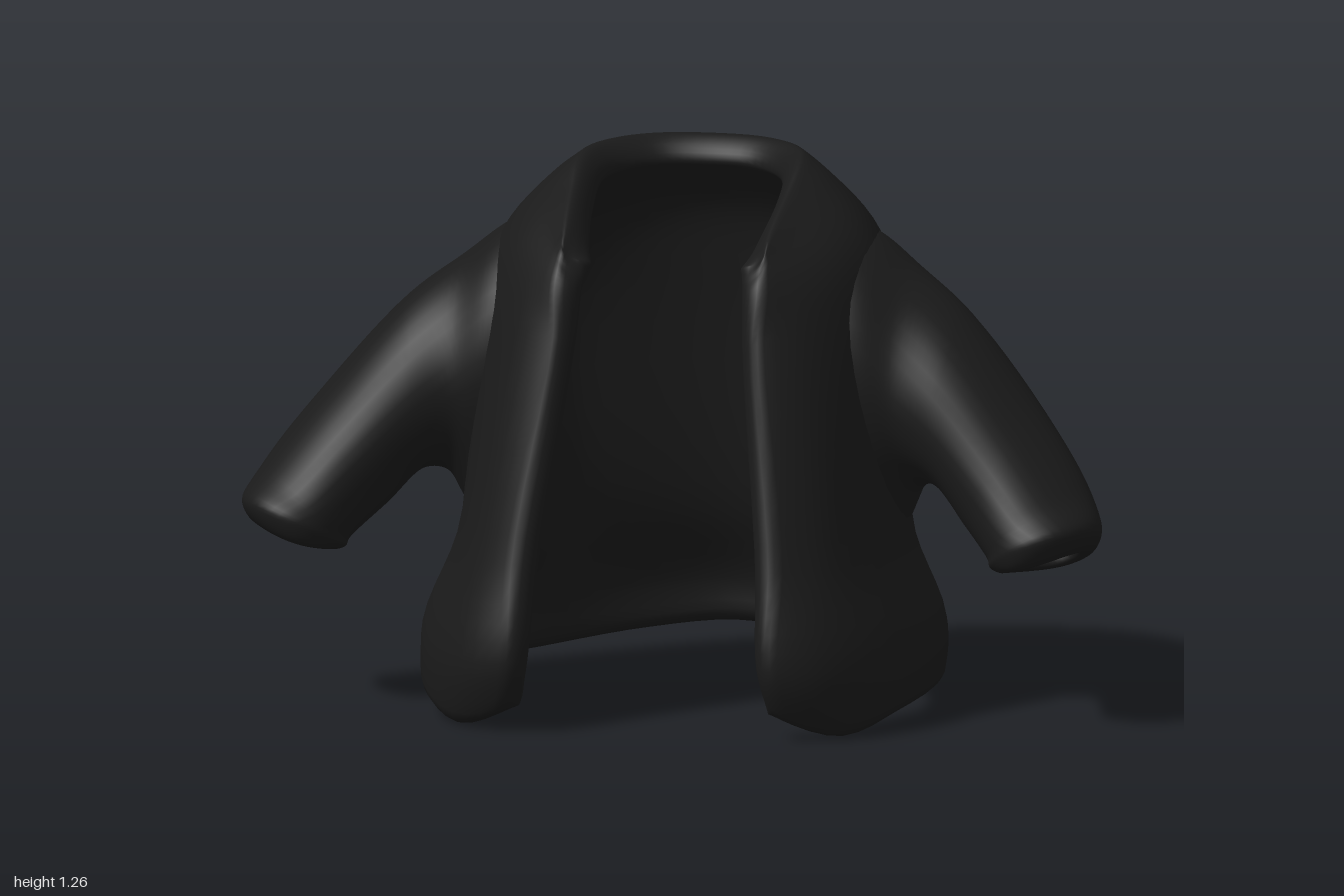
import * as THREE from 'three';
import { mergeVertices } from 'three/addons/utils/BufferGeometryUtils.js';

const cloth = new THREE.MeshStandardMaterial({ color: 0x1a1a1a });

// Middle of the cloth, hem to collar; each row runs from back centre to the left front edge.
const BODY_ROWS = [
  [[0, .085, -.54], [.2, .07, -.485], [.4, .05, -.32], [.54, .05, -.03], [.52, .03, .28], [.43, 0, .43], [.29, .06, .525]],
  [[0, .2, -.54], [.2, .19, -.485], [.4, .18, -.32], [.55, .18, -.04], [.51, .17, .3], [.39, .16, .505], [.27, .17, .56]],
  [[0, .4, -.455], [.2, .4, -.405], [.37, .4, -.28], [.47, .4, -.03], [.44, .4, .25], [.37, .4, .42], [.26, .4, .51]],
  [[0, .9, -.37], [.2, .89, -.34], [.38, .87, -.25], [.46, .87, -.02], [.4, .88, .15], [.3, .88, .31], [.2, .88, .37]],
  [[0, 1.09, -.33], [.18, 1.08, -.3], [.34, 1.06, -.2], [.39, 1.06, -.02], [.36, 1.04, .12], [.28, 1.01, .255], [.2, .99, .345]],
  [[0, 1.19, -.265], [.14, 1.19, -.235], [.25, 1.18, -.145], [.29, 1.17, -.03], [.28, 1.13, .08], [.25, 1.08, .2], [.2, 1.025, .325]],
  [[0, 1.24, -.215], [.11, 1.24, -.195], [.19, 1.235, -.12], [.22, 1.22, -.03], [.22, 1.165, .08], [.21, 1.11, .2], [.2, 1.055, .3]],
];

// Sleeve rings, armhole to cuff and back inside; each has its top, back, bottom and front point.
const SLEEVE_RINGS = [
  [[.32, 1.12, -.08], [.26, .81, -.35], [.46, .34, -.03], [.36, .82, .23]],
  [[.425, 1.08, -.05], [.41, .8, -.31], [.515, .44, -.02], [.44, .8, .225]],
  [[.52, 1.01, -.02], [.52, .76, -.25], [.55, .51, 0], [.52, .74, .215]],
  [[.65, .91, .04], [.63, .72, -.17], [.6, .525, .03], [.61, .67, .24]],
  [[.83, .7, .12], [.8, .59, -.02], [.68, .45, .1], [.73, .55, .295]],
  [[.95, .54, .19], [.9, .46, .08], [.75, .38, .185], [.81, .47, .345]],
  [[.995, .46, .225], [.905, .39, .11], [.755, .36, .23], [.86, .44, .37]],
  [[.97, .41, .22], [.905, .36, .13], [.785, .355, .24], [.86, .39, .35]],
  [[.94, .41, .22], [.9, .37, .16], [.82, .37, .24], [.86, .39, .31]],
  [[.9, .5, .2], [.87, .46, .12], [.79, .42, .2], [.83, .46, .27]],
  [[.84, .5, .185], [.84, .5, .185], [.84, .5, .185], [.84, .5, .185]],
];

const curveThrough = (points) =>
  new THREE.CatmullRomCurve3(points.map((p) => (p.isVector3 ? p : new THREE.Vector3(...p))));

// Sample positions 0..1, packed closer near both ends for the rounded edges
function samples(count, length, edge) {
  const near = [0, .04, .15, .32, .6].map((f) => (f * edge) / length);
  const start = edge / length;
  const middle = Array.from({ length: count + 1 }, (_, i) => start + ((1 - 2 * start) * i) / count);
  return [...near, ...middle, ...near.map((t) => 1 - t).reverse()];
}

// 0 at the border, rising along a quarter circle to 1
function rounding(t, length, edge) {
  const d = Math.min(t, 1 - t) * length;
  return d < edge ? Math.sqrt(Math.max(0, 1 - (1 - d / edge) ** 2)) : 1;
}

function toGeometry(points, index) {
  let geo = new THREE.BufferGeometry().setFromPoints(points);
  geo.setIndex(index);
  geo = mergeVertices(geo, 1e-5);
  geo.computeVertexNormals();
  return geo;
}

// Open-fronted body: a thick sheet with rounded hem, lapels and collar
function bodyGeometry() {
  const thickness = .043, edge = .055, widthLength = 2, heightLength = 1.25;
  const us = samples(48, widthLength, edge);
  const vs = samples(30, heightLength, edge);
  const rowCurves = BODY_ROWS.map((row) => {
    const right = row.slice(1).reverse().map(([x, y, z]) => [-x, y, z]);
    return curveThrough([...right, ...row]);
  });
  const grid = us.map((u) => {
    const column = curveThrough(rowCurves.map((c) => c.getPoint(u)));
    return vs.map((v) => column.getPoint(v));
  });
  const nu = us.length, nv = vs.length;
  const outer = [], inner = [], index = [];
  for (let i = 0; i < nu; i++) {
    for (let j = 0; j < nv; j++) {
      const du = grid[Math.min(i + 1, nu - 1)][j].clone().sub(grid[Math.max(i - 1, 0)][j]);
      const dv = grid[i][Math.min(j + 1, nv - 1)].clone().sub(grid[i][Math.max(j - 1, 0)]);
      const normal = dv.cross(du).normalize();
      const h = thickness * rounding(us[i], widthLength, edge) * rounding(vs[j], heightLength, edge);
      outer.push(grid[i][j].clone().addScaledVector(normal, h));
      inner.push(grid[i][j].clone().addScaledVector(normal, -h));
    }
  }
  const offset = outer.length;
  for (let i = 0; i < nu - 1; i++) {
    for (let j = 0; j < nv - 1; j++) {
      const a = i * nv + j, b = a + nv, c = a + 1, d = b + 1;
      index.push(a, c, b, b, c, d);
      index.push(...[a, b, c, b, d, c].map((k) => k + offset));
    }
  }
  return toGeometry([...outer, ...inner], index);
}

// Sleeve: oval rings flaring into the armhole, turned in at a hollow cuff
function sleeveGeometry(side) {
  const rings = 70, sides = 36, points = [], index = [];
  const tracks = [0, 1, 2, 3].map((n) => curveThrough(SLEEVE_RINGS.map((ring) => ring[n])));
  for (let i = 0; i <= rings; i++) {
    const [top, back, bottom, front] = tracks.map((track) => track.getPoint(i / rings));
    for (let k = 0; k < sides; k++) {
      const angle = (k / sides) * Math.PI * 2;
      const c = Math.cos(angle), s = Math.sin(angle);
      const p = new THREE.Vector3()
        .addScaledVector(top, (c * c + c) / 2)
        .addScaledVector(bottom, (c * c - c) / 2)
        .addScaledVector(front, (s * s + s) / 2)
        .addScaledVector(back, (s * s - s) / 2);
      p.x *= side;
      points.push(p);
    }
  }
  for (let i = 0; i < rings; i++) {
    for (let k = 0; k < sides; k++) {
      const a = i * sides + k, b = i * sides + ((k + 1) % sides);
      const c = a + sides, d = b + sides;
      if (side > 0) index.push(a, b, c, b, d, c);
      else index.push(a, c, b, b, c, d);
    }
  }
  return toGeometry(points, index);
}

export function createModel() {
  const jacket = new THREE.Group();
  jacket.name = 'jacket';
  const add = (name, geometry) => {
    const mesh = new THREE.Mesh(geometry, cloth);
    mesh.name = name;
    jacket.add(mesh);
  };
  add('body', bodyGeometry());
  add('leftSleeve', sleeveGeometry(1));
  add('rightSleeve', sleeveGeometry(-1));
  return jacket;
}
